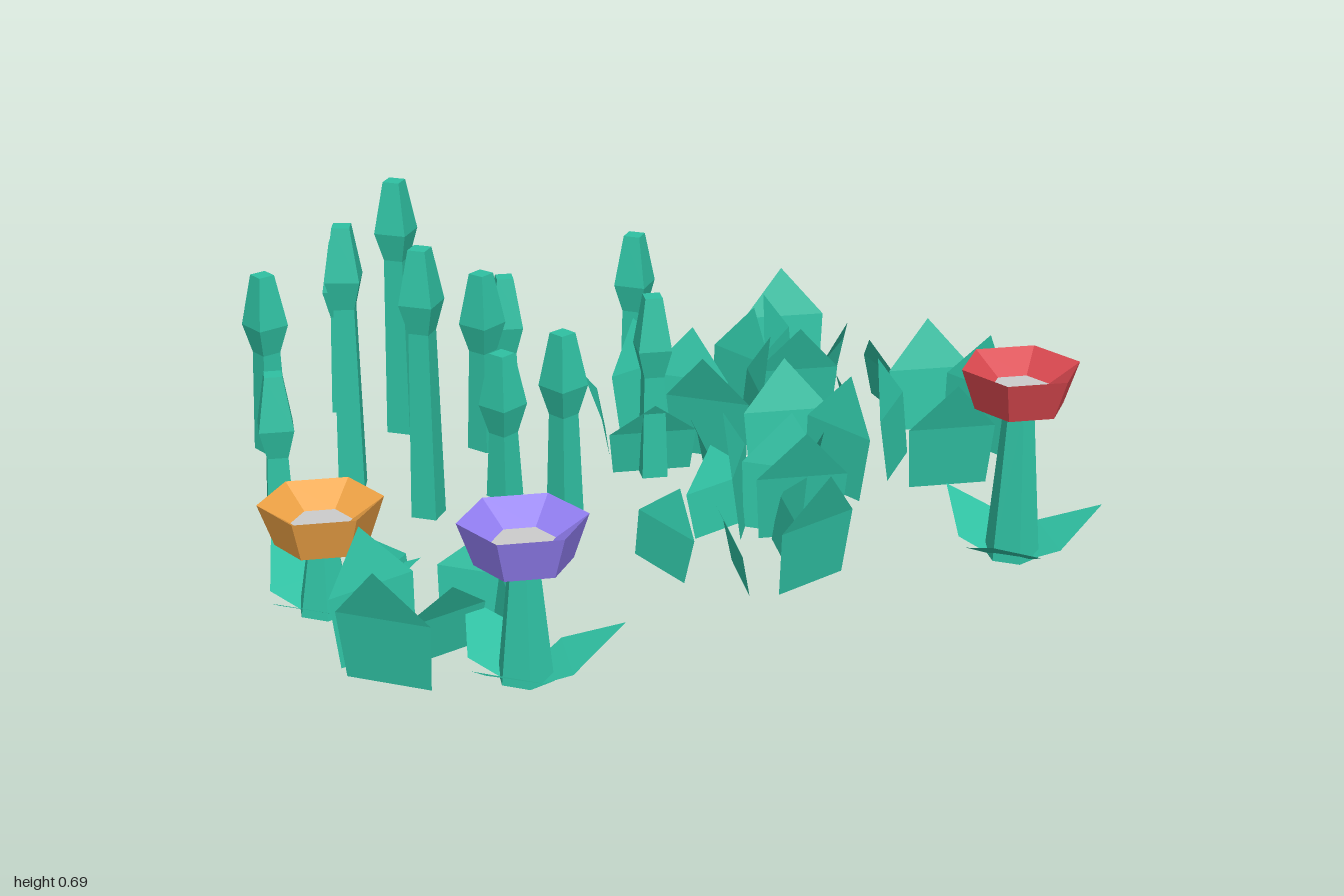
import * as THREE from 'three';

const mat = (color) => new THREE.MeshStandardMaterial({ color, flatShading: true, side: THREE.DoubleSide });
const GREEN = mat(0x2fc0a2);
const GREY = mat(0xcccccc);

const deg = THREE.MathUtils.degToRad;

function mesh(name, geometry, material) {
  const m = new THREE.Mesh(geometry, material);
  m.name = name;
  return m;
}

// faceted turned shape from [radius, height] pairs
function turned(points, sides, start) {
  return new THREE.LatheGeometry(points.map(([r, y]) => new THREE.Vector2(r, y)), sides, start);
}

// flat five-sided leaf: base edge, shoulders and tip, leaning towards +z
function bladeGeometry(base, shoulder, tip) {
  const corners = [
    [-base.w, base.y, base.z], [base.w, base.y, base.z],
    [shoulder.w, shoulder.y, shoulder.z], [0, tip.y, tip.z], [-shoulder.w, shoulder.y, shoulder.z],
  ];
  const g = new THREE.BufferGeometry();
  g.setAttribute('position', new THREE.Float32BufferAttribute(corners.flat(), 3));
  g.setIndex([0, 1, 2, 0, 2, 4, 4, 2, 3]);
  g.computeVertexNormals();
  return g;
}

// square stalk with a swollen bud on top
function makeReed([x, z, h, yaw]) {
  const profile = [[0, 0], [0.046, 0], [0.036, h - 0.21], [0.06, h - 0.135], [0.031, h], [0, h]];
  const reed = mesh('reed', turned(profile, 4, Math.PI / 4), GREEN);
  reed.position.set(x, 0, z);
  reed.rotation.y = deg(yaw);
  return reed;
}

// standing leaf, yaw gives the direction in which it leans
function makeLeaf([x, z, yaw, h = 0.29]) {
  const g = bladeGeometry(
    { w: 0.1, y: 0, z: -0.03 },
    { w: 0.112, y: h * 0.56, z: -0.01 },
    { y: h, z: 0.03 },
  );
  const leaf = mesh('leaf', g, GREEN);
  leaf.position.set(x, 0, z);
  leaf.rotation.y = deg(yaw);
  return leaf;
}

// six-sided cup on a stem with three leaves at the foot
function makeFlower(x, z, h, color) {
  const flower = new THREE.Group();
  flower.name = 'flower';

  const stem = mesh('stem', new THREE.CylinderGeometry(0.036, 0.066, h - 0.1, 6), GREEN);
  stem.position.y = (h - 0.1) / 2;
  flower.add(stem);

  const cup = [[0, h - 0.1], [0.108, h - 0.1], [0.143, h], [0.07, h - 0.05]];
  flower.add(mesh('cup', turned(cup, 6, Math.PI / 2), mat(color)));

  const heart = mesh('flowerHeart', new THREE.CircleGeometry(0.07, 6), GREY);
  heart.rotation.x = -Math.PI / 2;
  heart.position.y = h - 0.05;
  flower.add(heart);

  for (let i = 0; i < 3; i++) {
    const g = bladeGeometry(
      { w: 0.045, y: 0, z: 0.02 },
      { w: 0.09, y: 0.04, z: 0.09 },
      { y: 0.11, z: 0.22 },
    );
    const leaf = mesh('footLeaf', g, GREEN);
    leaf.rotation.y = Math.PI / 2 + (i * Math.PI * 2) / 3;
    flower.add(leaf);
  }
  flower.position.set(x, 0, z);
  return flower;
}

// x, z, height, yaw
const REEDS = [
  [-0.72, -0.86, 0.48, -10], [-0.58, -0.68, 0.69, -28], [-0.93, -0.61, 0.48, 30],
  [-0.29, -0.77, 0.38, 0], [0.06, -0.76, 0.48, -30], [-0.38, -0.52, 0.48, 43],
  [-0.74, -0.33, 0.69, -10], [-0.93, -0.16, 0.38, 0], [-0.57, -0.12, 0.69, -28],
  [-0.37, -0.2, 0.38, 40], [-0.24, -0.05, 0.48, 35], [0.02, -0.27, 0.48, 0],
];

// x, z, lean direction, optional height
const LEAVES = [
  [0.51, -0.93, 180], [0.62, -0.75, 60, 0.2], [0.44, -0.74, 240], [0.34, -0.64, 120],
  [0.7, -0.6, 281, 0.2], [0.05, -0.61, 212], [-0.09, -0.5, 264, 0.19], [0.16, -0.51, 150],
  [0.45, -0.5, 0], [0.33, -0.43, 88], [0.8, -0.46, 180], [0.55, -0.36, 270, 0.2],
  [0.9, -0.32, 120],
];
const LEAVES_NEAR = [
  [0.17, -0.33, 330], [0.02, -0.26, 0, 0.2], [0.36, -0.24, 180], [0.62, -0.21, 240],
  [0.12, -0.13, 270, 0.2], [0.47, -0.1, 120], [0.74, -0.03, 0], [0.37, 0.0, 60, 0.2],
  [0.12, 0.07, 210, 0.2], [0.16, 0.07, 250], [0.28, 0.12, 150], [0.3, 0.2, 0],
  [0.26, 0.28, 90, 0.2], [-0.04, 0.28, 115, 0.19], [0.08, 0.38, 270, 0.19], [0.28, 0.46, 30],
];
const LEAVES_LEFT = [
  [-0.5, 0.46, 150, 0.2], [-0.77, 0.59, 210], [-0.76, 0.78, 330], [-0.61, 0.67, 28, 0.19],
  [-0.45, 0.6, 95, 0.2], [-0.73, 0.42, 240, 0.19],
];

export function createModel() {
  const model = new THREE.Group();
  model.name = 'plantPatch';

  const reeds = new THREE.Group();
  reeds.name = 'reeds';
  REEDS.forEach((r) => reeds.add(makeReed(r)));

  const leaves = new THREE.Group();
  leaves.name = 'leaves';
  [...LEAVES, ...LEAVES_NEAR, ...LEAVES_LEFT].forEach((l) => leaves.add(makeLeaf(l)));

  const flowers = new THREE.Group();
  flowers.name = 'flowers';
  flowers.add(
    makeFlower(0.775, 0.365, 0.48, 0xd9484f),
    makeFlower(-0.855, 0.365, 0.27, 0xf0a446),
    makeFlower(-0.45, 0.775, 0.375, 0x9480f5),
  );

  model.add(reeds, leaves, flowers);
  return model;
}
